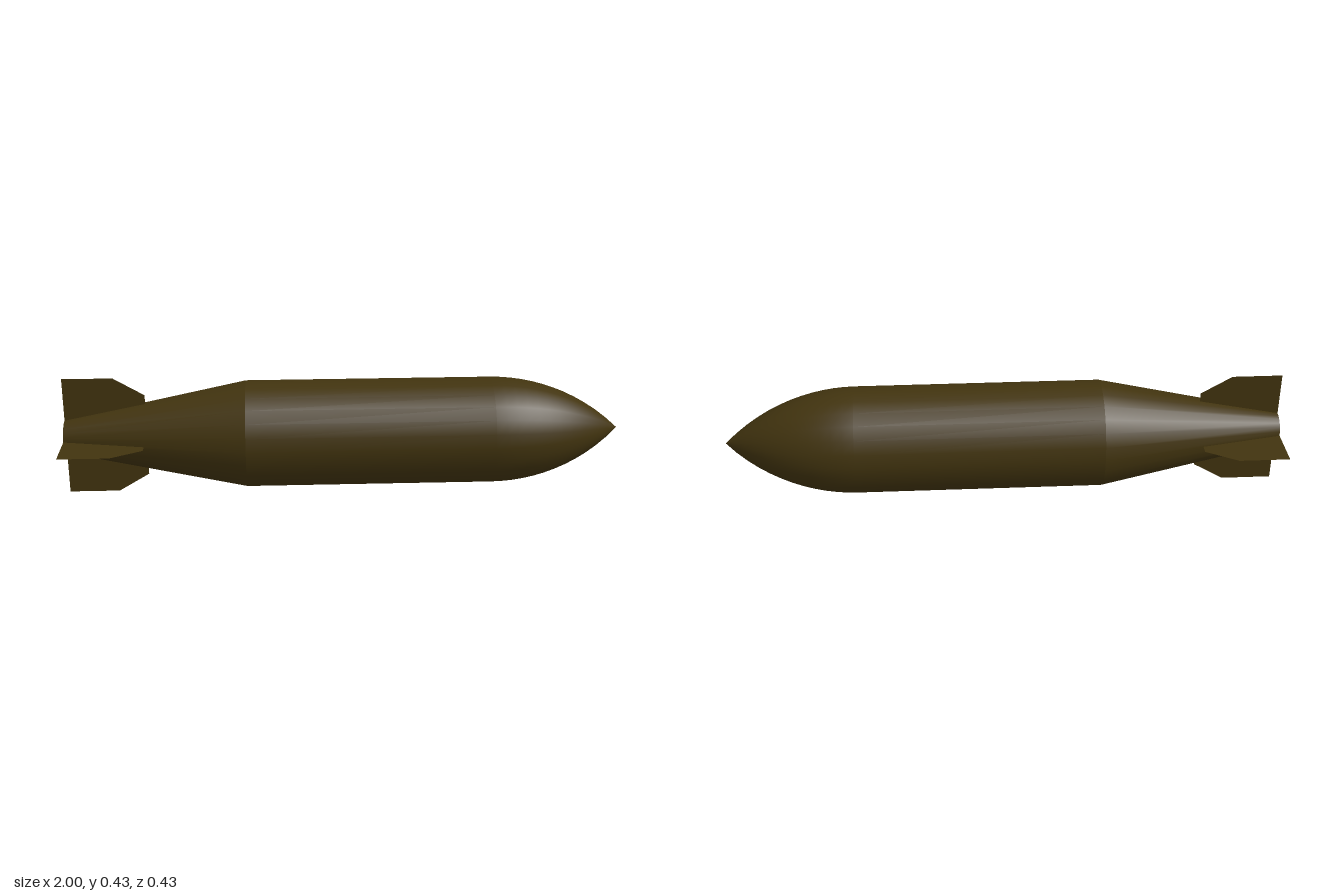
import * as THREE from 'three';

const SIDES = 24;
const AXIS_Y = 0.217;      // height of the long axis
const R = 0.192;           // body radius
const TAIL_R = 0.06;       // radius at the tail end
const SHOULDER = -0.35;    // x where the tail cone meets the body
const NOSE = 0.53;         // x where the nose starts to curve in

export function createModel() {
  const group = new THREE.Group();
  group.name = 'finnedBomb';
  group.position.y = AXIS_Y;
  const material = new THREE.MeshStandardMaterial({ color: 0x42340f, side: THREE.DoubleSide });

  const add = (name, geometry) => {
    const mesh = new THREE.Mesh(geometry, material);
    mesh.name = name;
    group.add(mesh);
    return mesh;
  };

  // Turn a profile of [x, radius] pairs about the long axis
  const turn = (profile) =>
    new THREE.LatheGeometry(profile.map(([x, r]) => new THREE.Vector2(r, x)), SIDES).rotateZ(-Math.PI / 2);

  // Straight body running into a pointed ogive nose
  const length = 1 - NOSE;
  const arc = (length * length + R * R) / (2 * R);
  const profile = [[SHOULDER, R]];
  const steps = 12;
  for (let i = 0; i <= steps; i++) {
    const d = (length * i) / steps;
    profile.push([NOSE + d, Math.max(0, Math.sqrt(arc * arc - d * d) - (arc - R))]);
  }
  add('bodyAndNose', turn(profile));

  // Tapered tail and its flat end
  add('tailCone', turn([[-1, TAIL_R], [SHOULDER, R]]));
  const cap = new THREE.CircleGeometry(TAIL_R, SIDES).rotateY(-Math.PI / 2);
  add('tailCap', cap).position.x = -1;

  // Four thin sheet fins with clipped front corners
  const finShape = new THREE.Shape([
    [-1, 0], [-0.71, 0], [-0.71, 0.152], [-0.82, 0.217], [-1, 0.217],
  ].map(([x, y]) => new THREE.Vector2(x, y)));
  const finGeometry = new THREE.ShapeGeometry(finShape);
  for (let i = 0; i < 4; i++) {
    add(`tailFin${i + 1}`, finGeometry).rotation.x = (i * Math.PI) / 2;
  }

  const root = new THREE.Group();
  root.add(group);
  return root;
}
